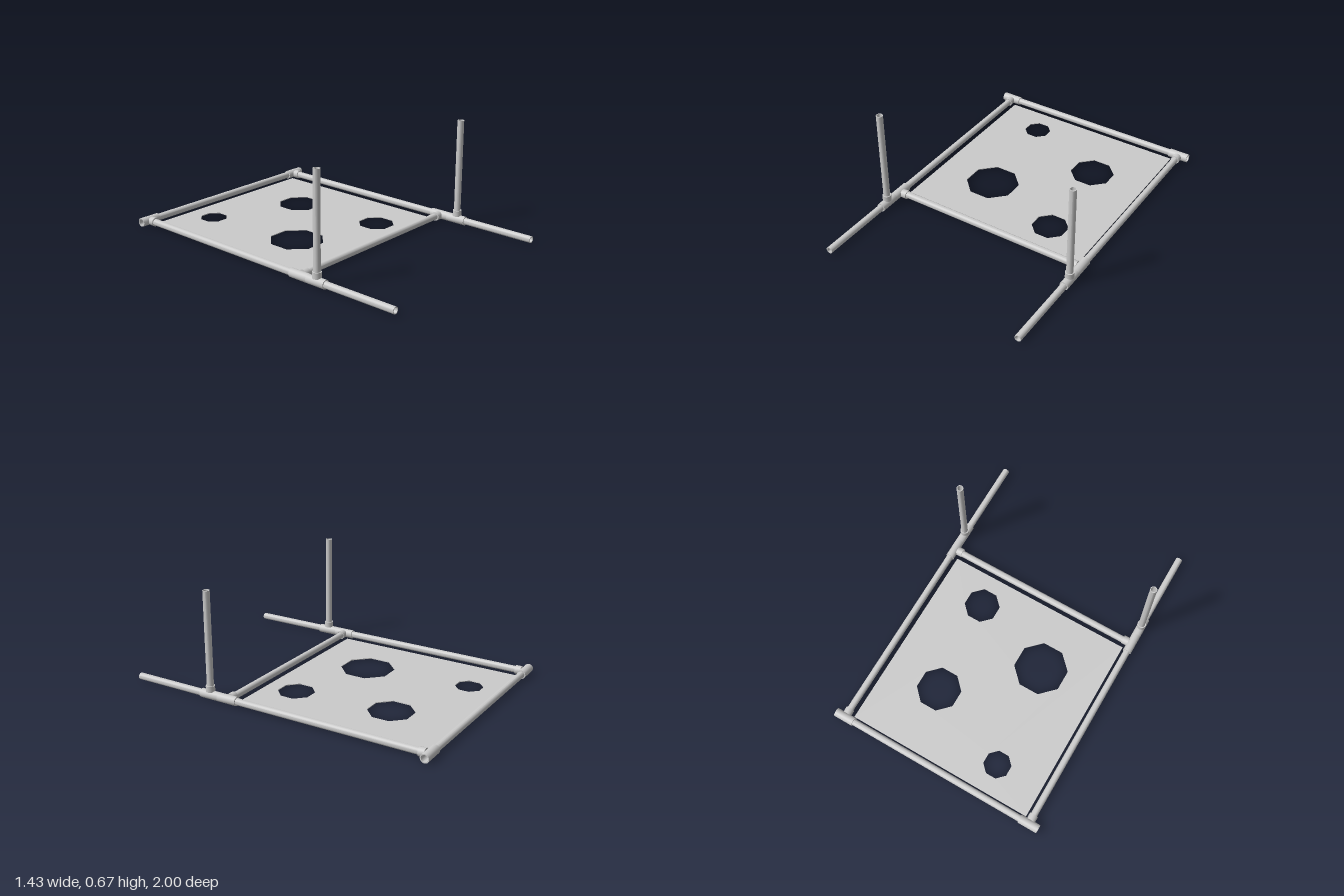
import * as THREE from 'three';
import { toCreasedNormals } from 'three/addons/utils/BufferGeometryUtils.js';

const PIPE_R = 0.021, PIPE_BORE = 0.016;
const TEE_R = 0.0275, TEE_HALF = 0.0635, TEE_BRANCH = 0.06;
const Y = TEE_R;          // height of the pipe axes
const SIDE_X = 0.652;     // side rails
const BACK_Z = -0.9725;   // back crossbar
const FRONT_Z = 0.33;     // front crossbar
const POST_Z = 0.46;      // uprights
const UP = new THREE.Vector3(0, 1, 0);

const material = new THREE.MeshStandardMaterial({ color: 0xcccccc });

// Hollow tube with flat rims between two points
function tube(name, from, to, outer, bore) {
  const a = new THREE.Vector3(...from), b = new THREE.Vector3(...to);
  const h = a.distanceTo(b) / 2;
  const profile = [[bore, -h], [outer, -h], [outer, h], [bore, h], [bore, -h]]
    .map(([r, y]) => new THREE.Vector2(r, y));
  const geometry = toCreasedNormals(new THREE.LatheGeometry(profile, 16), 0.7);
  const mesh = new THREE.Mesh(geometry, material);
  mesh.name = name;
  mesh.position.copy(a).add(b).multiplyScalar(0.5);
  mesh.quaternion.setFromUnitVectors(UP, b.sub(a).normalize());
  return mesh;
}

const pipe = (name, from, to) => tube(name, from, to, PIPE_R, PIPE_BORE);

// T-shaped sleeve: a straight run with one branch
function tee(name, center, runDir, branchDir) {
  const group = new THREE.Group();
  group.name = name;
  const at = (dir, d) => center.map((c, i) => c + dir[i] * d);
  group.add(
    tube('teeRun', at(runDir, -TEE_HALF), at(runDir, TEE_HALF), TEE_R, PIPE_R),
    tube('teeBranch', at(branchDir, 0.022), at(branchDir, TEE_BRANCH), TEE_R, PIPE_R)
  );
  return group;
}

// Thin board with octagonal holes
function board() {
  const shape = new THREE.Shape();
  shape.moveTo(-0.614, -0.29);
  shape.lineTo(0.61, -0.29);
  shape.lineTo(0.61, 0.94);
  shape.lineTo(-0.614, 0.94);
  shape.closePath();
  // x, z, half width across the flats
  const holes = [[-0.307, -0.755, 0.08], [0.25, -0.525, 0.13], [-0.235, -0.09, 0.157], [0.302, 0.09, 0.105]];
  for (const [x, z, half] of holes) {
    const r = half / Math.cos(Math.PI / 8);
    const points = [];
    for (let i = 0; i < 8; i++) {
      const t = (i + 0.5) * Math.PI / 4;
      points.push(new THREE.Vector2(x + r * Math.cos(t), -z + r * Math.sin(t)));
    }
    shape.holes.push(new THREE.Path(points));
  }
  const geometry = new THREE.ExtrudeGeometry(shape, { depth: 0.005, bevelEnabled: false });
  geometry.rotateX(-Math.PI / 2);
  const mesh = new THREE.Mesh(geometry, material);
  mesh.name = 'board';
  return mesh;
}

export function createModel() {
  const model = new THREE.Group();
  model.name = 'pipeFrameBoard';
  model.add(board());

  // Crossbars
  model.add(
    pipe('backCrossbar', [-0.62, Y, BACK_Z], [0.62, Y, BACK_Z]),
    pipe('frontCrossbar', [-0.625, Y, FRONT_Z], [0.625, Y, FRONT_Z])
  );

  // Rails, uprights and fittings on both sides
  for (const [side, s] of [['left', 1], ['right', -1]]) {
    const x = s * SIDE_X;
    model.add(
      pipe(side + 'Rail', [x, Y, -0.945], [x, Y, FRONT_Z]),
      pipe(side + 'FrontLeg', [x, Y, FRONT_Z], [x, Y, 1]),
      pipe(side + 'Upright', [x, 0.05, POST_Z], [x, 0.67, POST_Z]),
      tee(side + 'BackTee', [x, Y, BACK_Z], [1, 0, 0], [0, 0, 1]),
      tee(side + 'CrossbarTee', [x, Y, FRONT_Z + 0.003], [0, 0, 1], [-s, 0, 0]),
      tee(side + 'UprightTee', [x, Y, POST_Z], [0, 0, 1], [0, 1, 0])
    );
  }
  return model;
}
